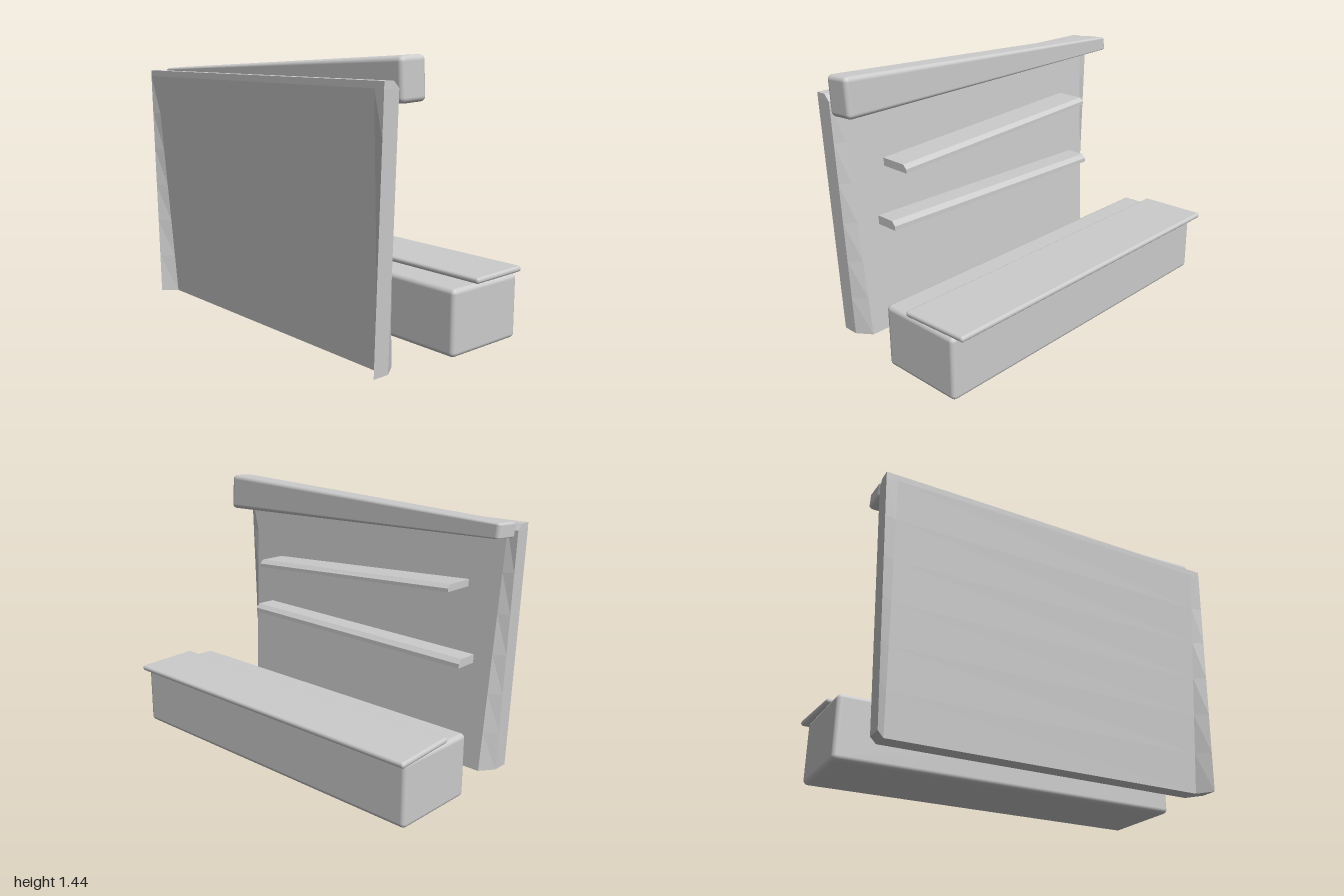
import * as THREE from 'three';
import { RoundedBoxGeometry } from 'three/addons/geometries/RoundedBoxGeometry.js';

const material = new THREE.MeshStandardMaterial({ color: 0xcccccc });

// Move every vertex of a geometry by a rule.
function warp(geometry, rule) {
  const pos = geometry.attributes.position;
  const v = new THREE.Vector3();
  for (let i = 0; i < pos.count; i++) {
    rule(v.fromBufferAttribute(pos, i));
    pos.setXYZ(i, v.x, v.y, v.z);
  }
  return geometry;
}

// Flat-sided prism from a 2D profile, running along +z.
function prism(points, depth, steps = 1) {
  const shape = new THREE.Shape(points.map(([x, y]) => new THREE.Vector2(x, y)));
  return new THREE.ExtrudeGeometry(shape, { depth, steps, bevelEnabled: false });
}

export function createModel() {
  const group = new THREE.Group();
  const add = (name, geometry) => {
    const mesh = new THREE.Mesh(geometry, material);
    mesh.name = name;
    group.add(mesh);
    return mesh;
  };
  const { lerp } = THREE.MathUtils;

  // Counter body
  const body = new RoundedBoxGeometry(0.48, 0.338, 1.96, 4, 0.025);
  add('counterBody', body).position.set(0.199, 0.169, 0.009);

  // Counter top, skewed in plan and tipping slightly down towards the outside
  const top = new RoundedBoxGeometry(0.375, 0.031, 1.975, 4, 0.0145);
  warp(top, (v) => {
    v.z -= v.x * 0.06;
    v.y -= v.x * 0.012;
  });
  add('counterTop', top).position.set(0.306, 0.351, 0);

  // Back panel: a thick sheet whose ends fold back, the middle leaning out at the foot
  const height = 1.293;
  const half = [[-0.5, 0.97], [-0.41, 0.97], [-0.33, 0.91]];
  const mirrored = half.map(([x, z]) => [x, -z]).reverse();
  const panel = prism([...half, ...mirrored, [-0.42, -0.91], [-0.42, 0.91]], height, 6);
  panel.rotateX(-Math.PI / 2);
  warp(panel, (v) => {
    const t = v.y / height;
    if (Math.abs(v.z) < 0.92) v.x -= 0.08 * t;
    v.z *= lerp(0.953, 1, t);
  });
  panel.computeVertexNormals();
  add('backPanel', panel);

  // Chamfered upper edge of the panel
  const lip = prism([[-0.5, 1.293], [-0.41, 1.293], [-0.442, 1.326], [-0.5, 1.326]], 1.94);
  add('panelTop', lip).position.z = -0.97;

  // Shelves: chamfered front edge, each sloping along its length
  const shelves = [
    { name: 'upperShelf', back: -0.41, front: -0.207, rear: [-0.71, 0.975, 1.013], near: [0.685, 0.899, 0.942] },
    { name: 'lowerShelf', back: -0.39, front: -0.235, rear: [-0.778, 0.578, 0.624], near: [0.755, 0.598, 0.646] },
  ];
  for (const { name, back, front, rear, near } of shelves) {
    const profile = [[back, 0], [front, 0], [front, 0.5], [front - 0.023, 1], [back, 1]];
    const shelf = warp(prism(profile, 1), (v) => {
      const t = v.z;
      v.y = lerp(lerp(rear[1], near[1], t), lerp(rear[2], near[2], t), v.y);
      v.z = lerp(rear[0], near[0], t);
    });
    shelf.computeVertexNormals();
    add(name, shelf);
  }

  // Header beam: rounded, tall at the front and tapering to the rear
  const beam = new RoundedBoxGeometry(0.155, 0.2, 1.945, 4, 0.025);
  warp(beam, (v) => {
    const t = v.z / 1.945 + 0.5;
    const k = v.y / 0.2 + 0.5;
    const tilt = v.x * 0.05;
    v.x -= v.y * 0.06;
    v.y = lerp(lerp(1.265, 1.227, t), lerp(1.34, 1.434, t), k) + tilt;
  });
  add('headerBeam', beam).position.set(-0.324, 0, 0.006);

  return group;
}
